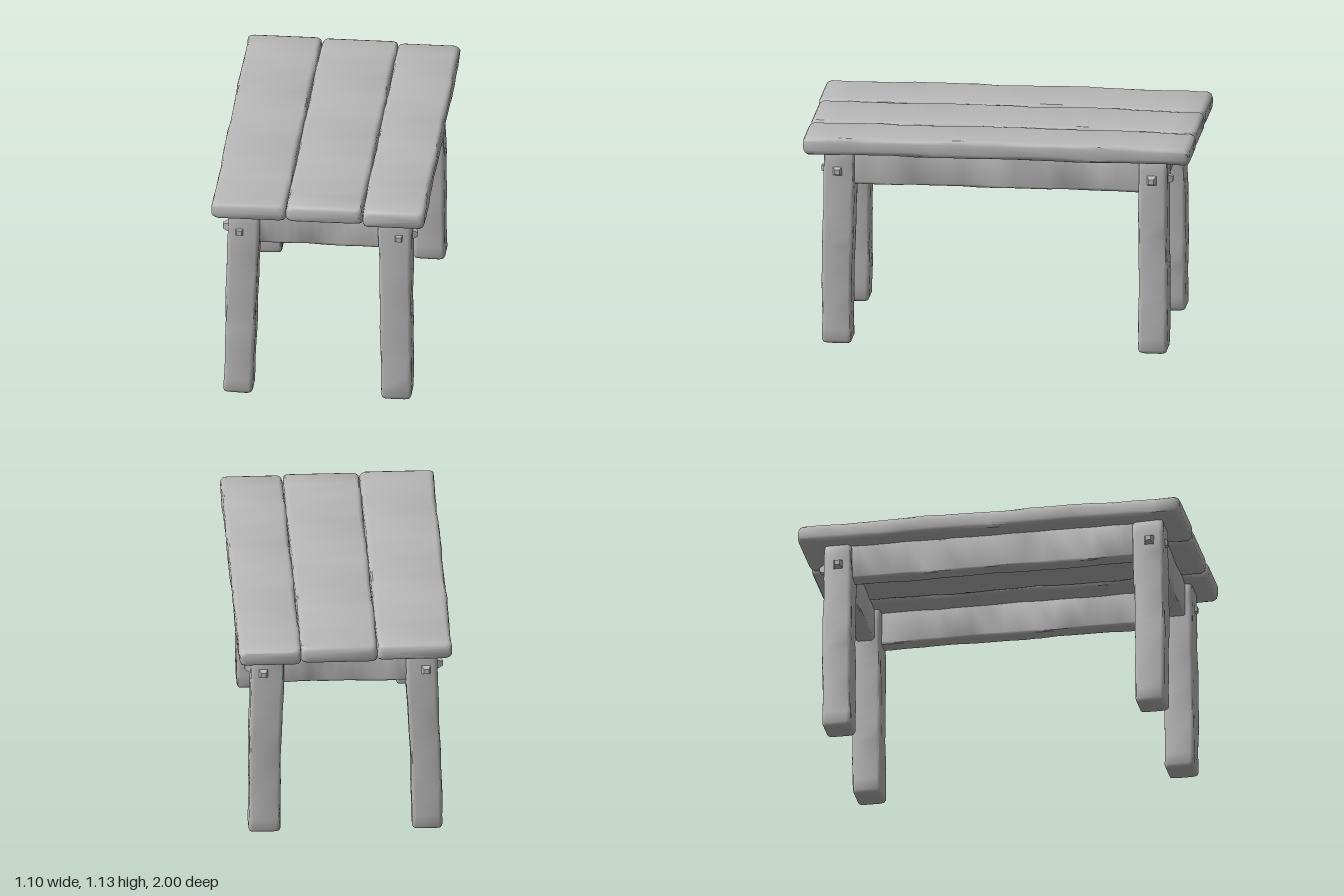
import * as THREE from 'three';
import { toCreasedNormals } from 'three/addons/utils/BufferGeometryUtils.js';

const wood = new THREE.MeshStandardMaterial({ color: 0xb8b8b8 });
wood.name = 'greyWood';

// Smooth hand-hewn unevenness
const wobble = (t, a, seed) =>
  0.6 * Math.sin(t * 9 + a * 2.1 + seed * 1.7) + 0.4 * Math.sin(t * 23 + a * 3.7 + seed * 4.3);

// For each beam direction: how (u, v, t) maps to (x, y, z)
const AXES = {
  x: (u, v, t) => [t, u, v],
  y: (u, v, t) => [v, t, u],
  z: (u, v, t) => [u, v, t],
};

// Rounded beam lofted through rings [t, u0, u1, v0, v1]
function beam(name, axis, rings, r, seed, rough = 0.004) {
  const first = rings[0][0], last = rings[rings.length - 1][0];
  const at = (t) => {
    let k = 0;
    while (k < rings.length - 2 && t > rings[k + 1][0]) k++;
    const f = (t - rings[k][0]) / (rings[k + 1][0] - rings[k][0]);
    return rings[k].map((v, i) => THREE.MathUtils.lerp(v, rings[k + 1][i], f));
  };
  // stations along the beam: [t, inset], with rounded ends
  const stations = [[first, r * 0.8], [first + r * 0.3, r * 0.28]];
  const N = 18;
  for (let i = 0; i <= N; i++) stations.push([THREE.MathUtils.lerp(first + r, last - r, i / N), 0]);
  stations.push([last - r * 0.3, r * 0.28], [last, r * 0.8]);

  const P = 16, pos = [], idx = [];
  for (const [t, inset] of stations) {
    const [, u0, u1, v0, v1] = at(t);
    for (let c = 0; c < 4; c++) {
      const su = c === 0 || c === 3 ? 1 : -1, sv = c < 2 ? 1 : -1;
      for (let s = 0; s < 4; s++) {
        const a = (c + s / 3) * Math.PI / 2;
        const n = rough * wobble(t, c + s / 3, seed);
        const hu = (u1 - u0) / 2 - inset - r + n, hv = (v1 - v0) / 2 - inset - r + n;
        pos.push(...AXES[axis](
          (u0 + u1) / 2 + su * Math.max(hu, 0.002) + r * Math.cos(a),
          (v0 + v1) / 2 + sv * Math.max(hv, 0.002) + r * Math.sin(a), t));
      }
    }
  }
  const M = stations.length;
  for (let j = 0; j < M - 1; j++) {
    for (let i = 0; i < P; i++) {
      const a = j * P + i, b = j * P + (i + 1) % P;
      idx.push(a, b, b + P, a, b + P, a + P);
    }
  }
  const e = (M - 1) * P;
  for (let i = 1; i < P - 1; i++) idx.push(0, i + 1, i, e, e + i, e + i + 1);
  const g = new THREE.BufferGeometry();
  g.setAttribute('position', new THREE.Float32BufferAttribute(pos, 3));
  g.setIndex(idx);
  const mesh = new THREE.Mesh(toCreasedNormals(g, 0.75), wood);
  mesh.name = name;
  return mesh;
}

// Square tapered peg head pointing along dir
function peg(x, z, dir) {
  const g = new THREE.CylinderGeometry(0.018, 0.037, 0.035, 4).toNonIndexed();
  g.rotateY(Math.PI / 4);
  g.computeVertexNormals();
  const m = new THREE.Mesh(g, wood);
  m.name = 'peg';
  m.quaternion.setFromUnitVectors(new THREE.Vector3(0, 1, 0), dir);
  m.position.set(x, 0.92, z);
  return m;
}

export function createModel() {
  const table = new THREE.Group();
  table.name = 'table';

  // Tabletop: three planks [x0, x1, bottom, top, front end]
  const planks = [
    [-0.548, -0.167, 1.032, 1.126, 0.995],
    [-0.167, 0.226, 1.028, 1.121, 0.99],
    [0.226, 0.546, 1.021, 1.114, 0.995],
  ];
  planks.forEach(([x0, x1, y0, y1, end], i) => table.add(beam('plank', 'z', [
    [-1, x0, x1, y0, y1 - 0.002],
    [-0.4, x0, x1, y0, y1 + 0.004],
    [0.4, x0, x1, y0, y1 + 0.003],
    [end, x0, x1, y0, y1 - 0.002],
  ], 0.026, i + 1, 0.0035)));

  // Legs: rings [y, z0, z1, x0, x1], slightly splayed
  const legs = {
    frontRightLeg: [[0, 0.755, 0.907, -0.496, -0.345], [0.5, 0.748, 0.905, -0.485, -0.33],
      [0.85, 0.738, 0.9, -0.478, -0.312], [1.04, 0.735, 0.895, -0.474, -0.31]],
    frontLeftLeg: [[0, 0.755, 0.907, 0.315, 0.472], [0.5, 0.748, 0.905, 0.31, 0.472],
      [0.85, 0.738, 0.9, 0.302, 0.472], [1.04, 0.735, 0.895, 0.296, 0.472]],
    backRightLeg: [[0, -0.88, -0.73, -0.507, -0.352], [0.5, -0.88, -0.73, -0.495, -0.338],
      [0.85, -0.878, -0.73, -0.482, -0.32], [1.04, -0.875, -0.73, -0.476, -0.315]],
    backLeftLeg: [[0, -0.88, -0.73, 0.33, 0.49], [0.5, -0.88, -0.73, 0.322, 0.486],
      [0.85, -0.878, -0.73, 0.31, 0.48], [1.04, -0.875, -0.73, 0.305, 0.476]],
  };
  Object.entries(legs).forEach(([name, rings], i) => {
    table.add(beam(name, 'y', rings, 0.02, i + 5, 0.003));
    // Peg heads on the two outer faces
    const [, z0, z1, x0, x1] = rings[2];
    const sx = Math.sign(x0), sz = Math.sign(z0);
    table.add(peg(sx > 0 ? x1 + 0.01 : x0 - 0.01, (z0 + z1) / 2 + 0.005, new THREE.Vector3(sx, 0, 0)));
    table.add(peg((x0 + x1) / 2 + sx * 0.02, sz > 0 ? z1 - 0.005 : z0 - 0.008, new THREE.Vector3(0, 0, sz)));
  });

  // Aprons under the top
  for (const s of [-1, 1]) {
    const x = s * 0.405, z = s > 0 ? 0.82 : -0.805;
    table.add(beam('sideApron', 'z', [
      [-0.8, x - 0.045, x + 0.045, 0.848, 1.04],
      [0.8, x - 0.045, x + 0.045, 0.848, 1.04]], 0.014, s + 11, 0.003));
    table.add(beam('endApron', 'x', [
      [-0.4, 0.848, 1.04, z - 0.045, z + 0.045],
      [0.4, 0.848, 1.04, z - 0.045, z + 0.045]], 0.014, s + 15, 0.003));
  }
  return table;
}
